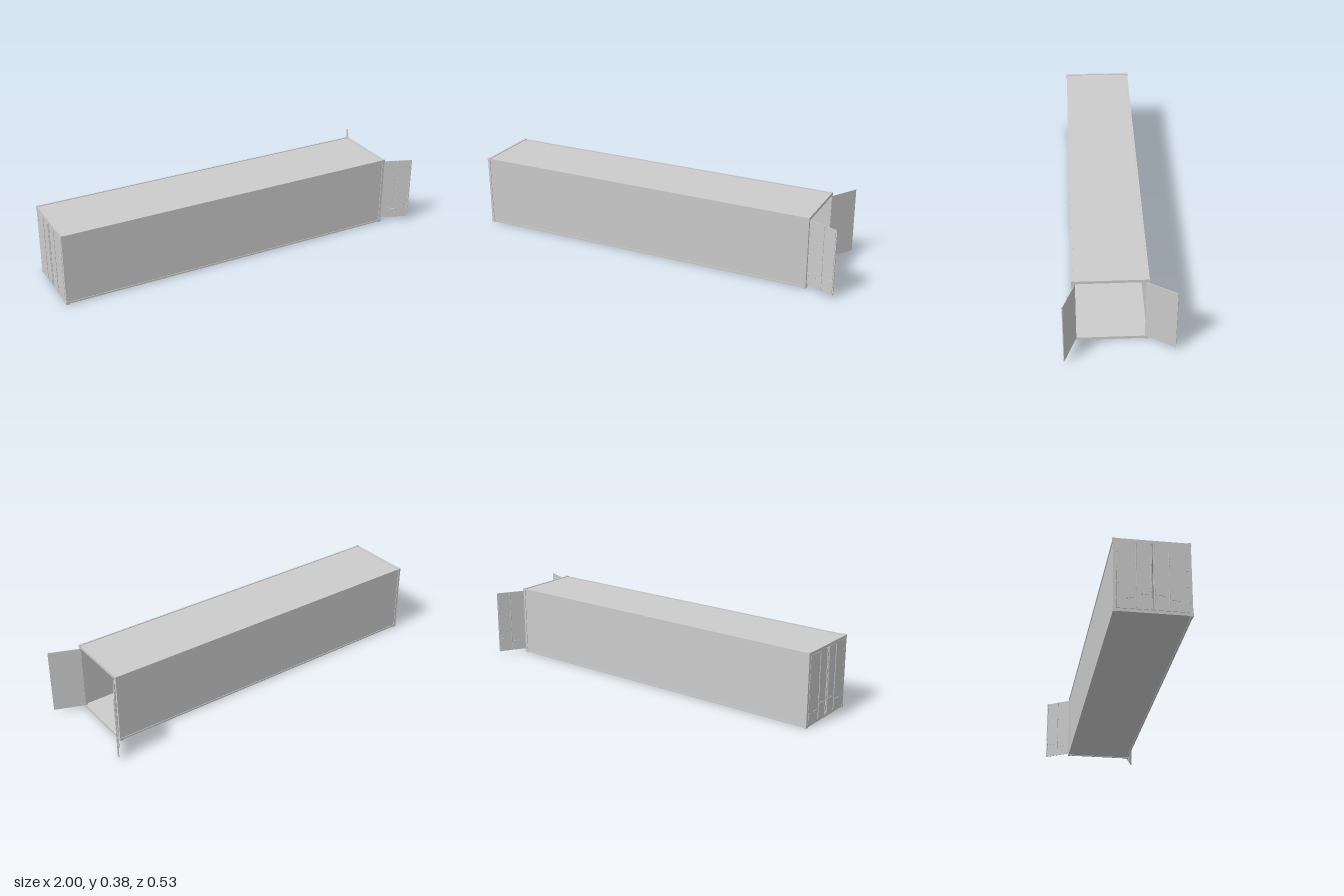
import * as THREE from 'three';

const material = new THREE.MeshStandardMaterial({ color: 0xcccccc, flatShading: true });

// Box given by its minimum and maximum on each axis
function box(parent, name, x0, x1, y0, y1, z0, z1) {
  const mesh = new THREE.Mesh(new THREE.BoxGeometry(x1 - x0, y1 - y0, z1 - z0), material);
  mesh.position.set((x0 + x1) / 2, (y0 + y1) / 2, (z0 + z1) / 2);
  mesh.name = name;
  parent.add(mesh);
  return mesh;
}

function rod(parent, name, radius, length, x, y, z, horizontal = false) {
  const mesh = new THREE.Mesh(new THREE.CylinderGeometry(radius, radius, length, 8), material);
  mesh.position.set(x, y, z);
  if (horizontal) mesh.rotation.z = Math.PI / 2;
  mesh.name = name;
  parent.add(mesh);
}

// Door runs along local +x from its hinge; s is the local z side of its outer face
function createDoor(name, x, z, angle, s) {
  const door = new THREE.Group();
  door.name = name;
  door.position.set(x, 0, z);
  door.rotation.y = angle;
  const W = 0.163;
  box(door, 'doorPanel', 0.001, W, 0.019, 0.361, -0.0015, 0.0015);

  // Locking bars with guide brackets and end cams
  for (const bx of [0.09, 0.157]) {
    rod(door, 'lockingBar', 0.0018, 0.342, bx, 0.19, s * 0.0035);
    for (const y of [0.026, 0.13, 0.25, 0.354]) {
      box(door, 'barBracket', bx - 0.004, bx + 0.004, y - 0.003, y + 0.003, s * 0.003 - 0.002, s * 0.003 + 0.002);
    }
  }
  // Handles reaching sideways from the bars
  rod(door, 'handle', 0.0012, 0.045, 0.068, 0.072, s * 0.004, true);
  rod(door, 'handle', 0.0012, 0.045, 0.134, 0.095, s * 0.004, true);
  for (const [hx, hy] of [[0.05, 0.072], [0.115, 0.095]]) {
    box(door, 'handleCatch', hx - 0.004, hx + 0.004, hy - 0.004, hy + 0.004, s * 0.003 - 0.002, s * 0.003 + 0.002);
  }
  // Hinges
  for (const y of [0.07, 0.15, 0.23, 0.31]) {
    rod(door, 'hingePin', 0.002, 0.014, 0, y, s * 0.001);
    box(door, 'hingeLeaf', 0, 0.012, y - 0.004, y + 0.004, s * 0.002 - 0.001, s * 0.002 + 0.001);
  }
  return door;
}

export function createModel() {
  const model = new THREE.Group();
  model.name = 'shippingContainer';

  const body = new THREE.Group();
  body.name = 'body';
  body.position.z = 0.04;
  model.add(body);
  const X0 = -0.996, X1 = 0.847, H = 0.181;

  // Shell panels
  box(body, 'floor', X0 + 0.006, X1 - 0.004, 0.006, 0.018, -0.176, 0.176);
  box(body, 'roof', X0 + 0.006, X1 - 0.004, 0.37, 0.373, -0.176, 0.176);
  for (const s of [-1, 1]) {
    const span = (name, x0, x1, y0, y1, a, b) =>
      box(body, name, x0, x1, y0, y1, Math.min(s * a, s * b), Math.max(s * a, s * b));
    span('sideWall', X0 + 0.006, X1 - 0.004, 0.006, 0.372, 0.174, 0.1765);
    // Long rails
    span('topRail', X0 + 0.004, X1 - 0.004, 0.367, 0.376, 0.171, 0.1795);
    span('bottomRail', X0 + 0.004, X1 - 0.004, 0.003, 0.012, 0.171, 0.1795);
    // Corner posts and castings at both ends
    for (const [a, b, c, d] of [[X0 + 0.001, X0 + 0.013, X0, X0 + 0.018], [X1 - 0.013, X1 - 0.001, X1 - 0.018, X1]]) {
      span('cornerPost', a, b, 0.01, 0.37, 0.165, 0.1795);
      span('cornerCasting', c, d, 0, 0.0175, 0.165, H);
      span('cornerCasting', c, d, 0.361, 0.378, 0.165, H);
    }
  }
  // End frames
  for (const [a, b] of [[X0 + 0.001, X0 + 0.012], [X1 - 0.012, X1 - 0.001]]) {
    box(body, 'doorHeader', a, b, 0.361, 0.376, -0.166, 0.166);
    box(body, 'doorSill', a, b, 0.003, 0.018, -0.166, 0.166);
  }

  // Closed pair at one end, open pair at the other
  model.add(
    createDoor('closedDoorFront', -0.9945, 0.205, Math.PI / 2, -1),
    createDoor('closedDoorBack', -0.9945, -0.125, -Math.PI / 2, 1),
    createDoor('openDoorFront', 0.846, 0.204, -Math.atan2(0.058, 0.149), 1),
    createDoor('openDoorBack', 0.846, -0.125, Math.atan2(0.14, 0.085), -1),
  );
  return model;
}
